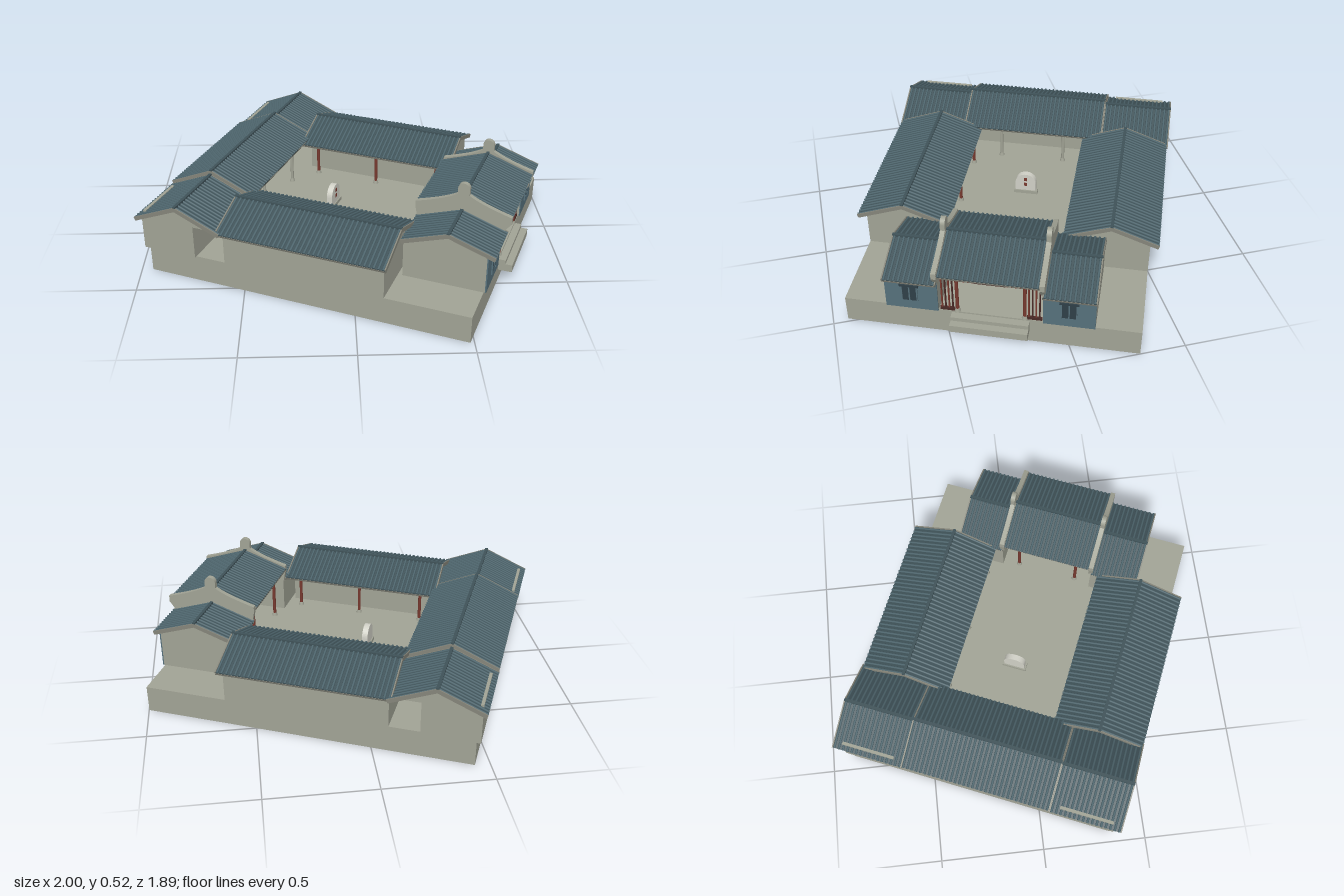
import * as THREE from 'three';
import { mergeGeometries } from 'three/addons/utils/BufferGeometryUtils.js';

const mat = (name, color) => Object.assign(new THREE.MeshStandardMaterial({ color }), { name });

export function createModel() {
  const M = {
    stone: mat('stone', 0xa1a395),
    tile: mat('roof tile', 0x3f5258),
    rib: mat('roof rib', 0x506870),
    trim: mat('eave trim', 0x85857a),
    brick: mat('facade brick', 0x56707b),
    window: mat('window', 0x2f3f47),
    red: mat('red timber', 0x78392f),
    pale: mat('pale plaster', 0xd0d0c6),
    dark: mat('dark timber', 0x4a2a26),
  };
  const model = new THREE.Group();
  model.name = 'courtyardHouse';
  // the whole house is turned on its site: local +x is the gate side
  const house = new THREE.Group();
  house.name = 'house';
  house.rotation.y = -0.4;
  model.add(house);

  const add = (parent, name, geo, m) => {
    const mesh = new THREE.Mesh(geo, m);
    mesh.name = name;
    parent.add(mesh);
    return mesh;
  };
  // box from its minimum and maximum corners
  const box = (parent, name, m, x0, x1, y0, y1, z0, z1) =>
    add(parent, name, new THREE.BoxGeometry(x1 - x0, y1 - y0, z1 - z0)
      .translate((x0 + x1) / 2, (y0 + y1) / 2, (z0 + z1) / 2), m);
  // outline in x, y pushed from z0 to z1
  const prism = (parent, name, m, pts, z0, z1) => {
    const shape = pts instanceof THREE.Shape ? pts : new THREE.Shape(pts.map(p => new THREE.Vector2(...p)));
    const geo = new THREE.ExtrudeGeometry(shape, { depth: z1 - z0, bevelEnabled: false, curveSegments: 10 });
    return add(parent, name, geo.translate(0, 0, z0), m);
  };
  // column on a stone foot
  const column = (parent, m, x, z, top) => {
    const g = new THREE.Group();
    g.name = 'column';
    g.position.set(x, 0.13, z);
    add(g, 'shaft', new THREE.CylinderGeometry(0.008, 0.008, top - 0.13, 10).translate(0, (top - 0.13) / 2, 0), m);
    add(g, 'foot', new THREE.CylinderGeometry(0.01, 0.014, 0.016, 10).translate(0, 0.008, 0), M.stone);
    parent.add(g);
  };

  // ribbed gable roof with its ridge along z
  const roof = (parent, name, x0, x1, z0, z1, eave, ridge) => {
    const g = new THREE.Group();
    g.name = name;
    parent.add(g);
    const half = (x1 - x0) / 2, rise = ridge - eave, len = Math.hypot(half, rise), depth = z1 - z0;
    const count = Math.round(depth / 0.021);
    for (const s of [-1, 1]) {
      const slope = new THREE.Group();
      slope.name = 'slope';
      slope.position.set((x0 + x1) / 2 + s * half / 2, (eave + ridge) / 2, (z0 + z1) / 2);
      slope.rotation.z = -s * Math.atan2(rise, half);
      g.add(slope);
      box(slope, 'tiles', M.tile, -len / 2, len / 2, -0.012, 0, -depth / 2, depth / 2);
      const ribs = [];
      for (let i = 0; i < count; i++) {
        ribs.push(new THREE.CylinderGeometry(0.0055, 0.0055, len, 6).rotateZ(Math.PI / 2)
          .translate(0, 0.001, -depth / 2 + (i + 0.5) * depth / count));
      }
      add(slope, 'tileRibs', mergeGeometries(ribs), M.rib);
      // light edge along the eave and both verges
      const e = s * (len / 2 - 0.002);
      box(slope, 'eaveTrim', M.trim, e - 0.003, e + 0.003, -0.014, -0.003, -depth / 2, depth / 2);
      for (const v of [-1, 1]) {
        const z = v * (depth / 2 - 0.002);
        box(slope, 'vergeTrim', M.trim, -len / 2, len / 2, -0.014, 0.005, z - 0.003, z + 0.003);
      }
    }
    const mid = (x0 + x1) / 2;
    box(g, 'ridgeCap', M.tile, mid - 0.007, mid + 0.007, ridge - 0.01, ridge + 0.009, z0, z1);
  };

  // platform
  box(house, 'platform', M.stone, -0.745, 0.807, 0, 0.13, -0.656, 0.672);

  // rear hall: walls, gables, three roofs
  prism(house, 'rearHall', M.stone,
    [[-0.765, 0.13], [-0.5, 0.13], [-0.5, 0.352], [-0.57, 0.382], [-0.765, 0.298]], -0.67, 0.685);
  for (const [a, b] of [[-0.67, -0.65], [0.665, 0.685]]) {
    prism(house, 'rearGable', M.stone, [[-0.77, 0.293], [-0.37, 0.293], [-0.57, 0.383]], a, b);
  }
  roof(house, 'rearRoofMiddle', -0.787, -0.354, -0.356, 0.368, 0.313, 0.408);
  for (const [a, b] of [[-0.702, -0.356], [0.368, 0.714]]) {
    roof(house, 'rearRoofEnd', -0.787, -0.354, a, b, 0.298, 0.39);
    box(house, 'rearWallCrest', M.stone, -0.764, -0.75, 0.28, 0.321, a + 0.045, b - 0.045);
  }
  for (const z of [-0.156, 0.174]) column(house, M.stone, -0.385, z, 0.315);

  // side wings, each built facing outward along its own x
  for (const side of [1, -1]) {
    const wing = new THREE.Group();
    wing.name = side > 0 ? 'leftWing' : 'rightWing';
    wing.position.set(0.03, 0, 0.008);
    wing.rotation.y = -side * Math.PI / 2;
    house.add(wing);
    prism(wing, 'wingWalls', M.stone,
      [[0.36, 0.13], [0.664, 0.13], [0.664, 0.306], [0.486, 0.37], [0.36, 0.322]], -0.385, 0.385);
    for (const z of [-0.385, 0.367]) {
      prism(wing, 'wingGable', M.stone, [[0.29, 0.293], [0.69, 0.293], [0.486, 0.371]], z, z + 0.018);
    }
    roof(wing, 'wingRoof', 0.268, 0.704, -0.404, 0.404, 0.3, 0.38);
    for (const x of [-0.32, 0.006, 0.33]) column(wing, M.red, 0.3, -side * x, 0.305);
  }

  // gatehouse rooms on both sides of the entrance
  for (const [a, b, wz, outer] of [[0.24, 0.476, 0.365, 1], [-0.454, -0.225, -0.338, -1]]) {
    const room = new THREE.Group();
    room.name = 'gateRoom';
    house.add(room);
    prism(room, 'roomWalls', M.stone,
      [[0.435, 0.13], [0.813, 0.13], [0.813, 0.304], [0.634, 0.372], [0.435, 0.304]], a, b);
    box(room, 'brickFront', M.brick, 0.812, 0.818, 0.13, 0.312, a, b);
    box(room, 'windowPane', M.window, 0.817, 0.821, 0.18, 0.262, wz - 0.034, wz + 0.034);
    for (const d of [-0.034, 0, 0.034]) {
      box(room, 'windowBar', M.brick, 0.818, 0.824, 0.178, 0.264, wz + d - 0.003, wz + d + 0.003);
    }
    box(room, 'windowHood', M.window, 0.816, 0.828, 0.264, 0.274, wz - 0.043, wz + 0.043);
    roof(room, 'roomRoof', 0.422, 0.848, a - (outer < 0 ? 0.004 : 0), b + (outer > 0 ? 0.002 : 0), 0.31, 0.383);
    box(room, 'eaveBoard', M.pale, 0.826, 0.836, 0.302, 0.312, a, b);

    // raised gable parapet with a rounded ear on the ridge
    const p = new THREE.Shape();
    p.moveTo(0.43, 0.3);
    p.lineTo(0.82, 0.3);
    p.lineTo(0.862, 0.36);
    p.lineTo(0.862, 0.39);
    p.quadraticCurveTo(0.72, 0.43, 0.665, 0.465);
    p.lineTo(0.665, 0.494);
    p.absarc(0.638, 0.494, 0.027, 0, Math.PI);
    p.lineTo(0.611, 0.465);
    p.quadraticCurveTo(0.56, 0.43, 0.418, 0.39);
    p.lineTo(0.418, 0.36);
    const inner = outer > 0 ? a : b;
    prism(room, 'gableParapet', M.stone, p, inner - 0.011, inner + 0.011);
  }

  // entrance hall between the rooms
  roof(house, 'gateRoof', 0.415, 0.86, -0.216, 0.232, 0.374, 0.452);
  for (const x of [0.44, 0.832]) box(house, 'eaveBoard', M.pale, x, x + 0.01, 0.352, 0.368, -0.216, 0.232);
  for (const x of [0.46, 0.8]) {
    for (const z of [-0.143, 0.157]) column(house, M.red, x, z, 0.372);
    box(house, 'crossBeam', M.dark, x - 0.008, x + 0.008, 0.335, 0.352, -0.216, 0.232);
  }
  for (const z of [-0.143, 0.157]) box(house, 'tieBeam', M.dark, 0.46, 0.8, 0.33, 0.345, z - 0.006, z + 0.006);
  // lattice frieze and blank signboard
  box(house, 'friezeRail', M.red, 0.796, 0.804, 0.308, 0.314, -0.143, 0.157);
  for (let i = 1; i < 14; i++) {
    const z = -0.143 + i * 0.3 / 14;
    box(house, 'friezeBar', M.red, 0.798, 0.802, 0.314, 0.336, z - 0.002, z + 0.002);
  }
  box(house, 'signboard', M.dark, 0.808, 0.816, 0.318, 0.35, -0.062, 0.076);
  box(house, 'signPanel', M.red, 0.815, 0.818, 0.323, 0.345, -0.055, 0.069);
  // barred screens beside the entrance
  for (const z0 of [0.174, -0.212]) {
    for (let i = 0; i < 4; i++) {
      box(house, 'screenBar', i % 2 ? M.red : M.dark, 0.796, 0.804, 0.13, 0.34, z0 + i * 0.016, z0 + i * 0.016 + 0.006);
    }
    box(house, 'screenRail', M.dark, 0.795, 0.805, 0.13, 0.145, z0 - 0.008, z0 + 0.06);
  }
  // hanging lantern
  add(house, 'lantern', new THREE.SphereGeometry(0.014, 10, 8).translate(0.7, 0.29, 0.008), M.red);
  add(house, 'lanternCord', new THREE.CylinderGeometry(0.002, 0.002, 0.13, 6).translate(0.7, 0.365, 0.008), M.dark);

  // entrance steps
  box(house, 'upperStep', M.stone, 0.8, 0.84, 0.065, 0.122, -0.165, 0.182);
  box(house, 'lowerStep', M.stone, 0.8, 0.872, 0.065, 0.102, -0.165, 0.182);

  // round-headed screen stone in the courtyard
  const stone = new THREE.Group();
  stone.name = 'courtyardScreen';
  stone.position.set(-0.09, 0.13, -0.005);
  stone.rotation.y = Math.PI / 2;
  house.add(stone);
  box(stone, 'plinth', M.stone, -0.06, 0.06, 0, 0.018, -0.02, 0.02);
  const slab = new THREE.Shape();
  slab.moveTo(-0.052, 0.018);
  slab.lineTo(0.052, 0.018);
  slab.lineTo(0.052, 0.062);
  slab.absarc(0, 0.062, 0.052, 0, Math.PI);
  prism(stone, 'slab', M.pale, slab, -0.014, 0.014);
  for (const y of [0.045, 0.075]) box(stone, 'redInlay', M.red, -0.008, 0.008, y, y + 0.018, 0.013, 0.016);

  return model;
}
